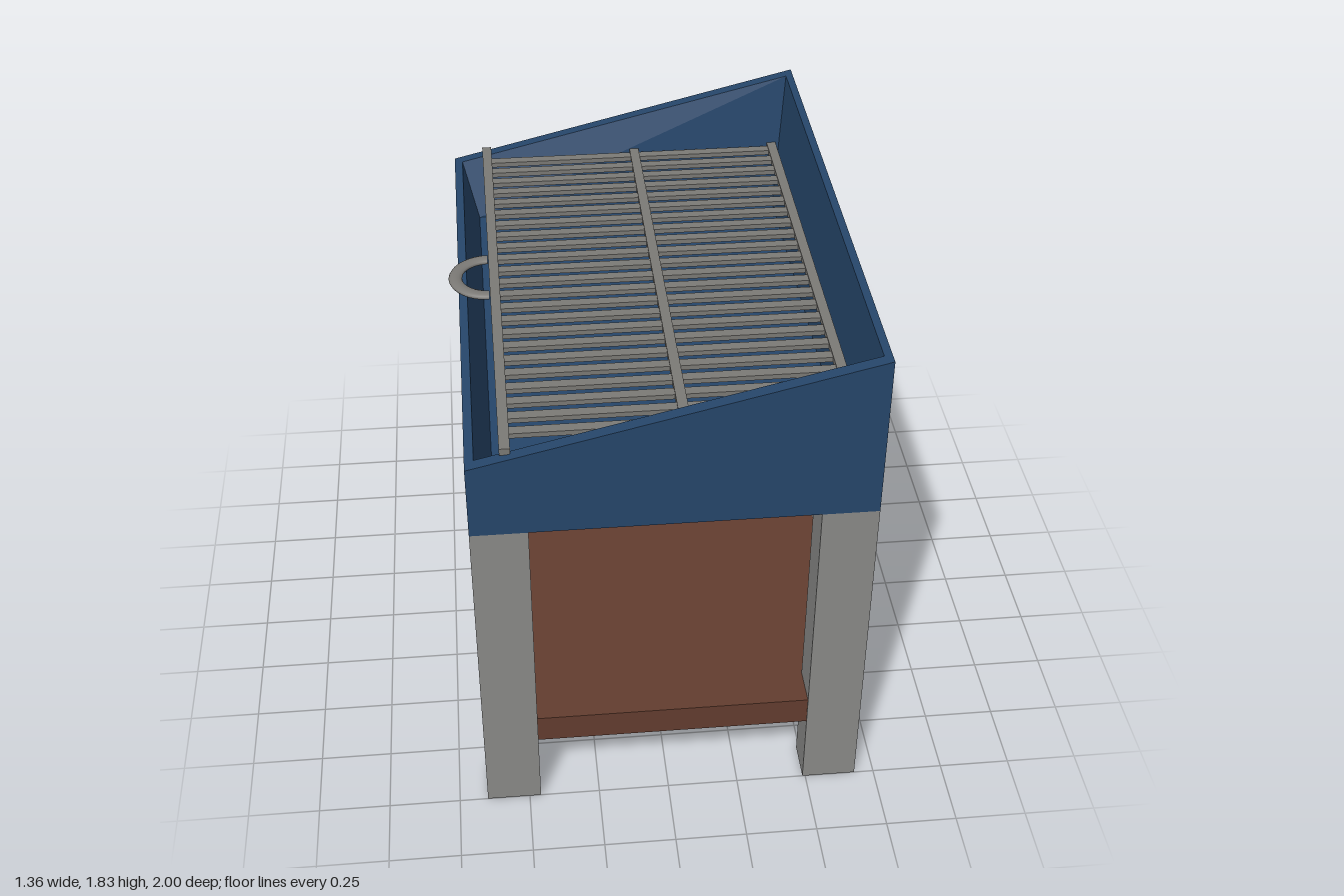
import * as THREE from 'three';

const X0 = -0.65, X1 = 0.68, BASE = 1.235;
const mat = (color) => new THREE.MeshStandardMaterial({ color, flatShading: true, side: THREE.DoubleSide });
const blue = mat(0x26466a), brown = mat(0x633d2f), stone = mat(0x8a8a88), iron = mat(0x7c7a76);

function add(parent, name, geometry, material, x = 0, y = 0, z = 0) {
  const mesh = new THREE.Mesh(geometry, material);
  mesh.name = name;
  mesh.position.set(x, y, z);
  parent.add(mesh);
  return mesh;
}

// Box without its underside (index range 18-24 is the bottom face)
function openBox(w, h, d) {
  const g = new THREE.BoxGeometry(w, h, d);
  g.setIndex([...g.index.array].filter((_, i) => i < 18 || i >= 24));
  g.clearGroups();
  return g;
}

// Height of the sloping rim at x
const rimY = (x) => 1.5 + (x - X0) * (0.325 / (X1 - X0));

// Four corners, counter-clockwise from above
const ring = (x0, x1, z, y) =>
  [[x0, z], [x1, z], [x1, -z], [x0, -z]].map(([x, cz]) => [x, y(x), cz]);

// Trough: outer wall, rim, tapered inner wall and floor
function troughGeometry() {
  const rings = [
    ring(X0, X1, 1, () => BASE),
    ring(X0, X1, 1, rimY),
    ring(-0.62, 0.655, 0.957, rimY),
    ring(-0.565, 0.61, 0.875, () => 1.3),
  ];
  const pos = [];
  const quad = (a, b, c, d) => pos.push(...a, ...b, ...c, ...a, ...c, ...d);
  for (let r = 0; r < 3; r++) {
    for (let i = 0; i < 4; i++) {
      const j = (i + 1) % 4;
      quad(rings[r][i], rings[r][j], rings[r + 1][j], rings[r + 1][i]);
    }
  }
  quad(...rings[3]);
  quad(...[...rings[0]].reverse());
  const g = new THREE.BufferGeometry();
  g.setAttribute('position', new THREE.Float32BufferAttribute(pos, 3));
  g.computeVertexNormals();
  return g;
}

export function createModel() {
  const model = new THREE.Group();
  model.name = 'grill';

  add(model, 'trough', troughGeometry(), blue);

  // Legs, open underneath
  const legW = 0.19, legD = 0.14;
  for (const x of [X0 + legW / 2, X1 - legW / 2]) {
    for (const z of [-1, 1]) {
      add(model, 'leg', openBox(legW, BASE, legD), stone, x, BASE / 2, z * (1 - legD / 2));
    }
  }

  // Lower shelf, a shallow tray turned upside down
  add(model, 'shelf', openBox(X1 - X0 - 0.008, 0.105, 1.992), brown, (X0 + X1) / 2, 0.3325, 0);

  // Level grate: long bars and evenly spaced rungs
  const grate = new THREE.Group();
  grate.name = 'grate';
  model.add(grate);
  const longBars = [[-0.522, -0.977, 0.972], [0.055, -0.912, 0.932], [0.6, -0.912, 0.912]];
  for (const [x, z0, z1] of longBars) {
    add(grate, 'longBar', new THREE.BoxGeometry(0.035, 0.024, z1 - z0), iron, x, 1.544, (z0 + z1) / 2);
  }
  const rungs = 23;
  for (let i = 0; i < rungs; i++) {
    const z = -0.872 + (i * 1.744) / (rungs - 1);
    add(grate, 'rung', new THREE.BoxGeometry(1.122, 0.018, 0.038), iron, 0.039, 1.543, z);
  }

  // Half-ring handle, flattened
  const smoothIron = iron.clone();
  smoothIron.flatShading = false;
  const ringGeo = new THREE.TorusGeometry(0.117, 0.024, 12, 24, Math.PI);
  ringGeo.rotateZ(Math.PI / 2).rotateX(Math.PI / 2).scale(1, 0.48, 1);
  add(grate, 'handle', ringGeo, smoothIron, -0.542, 1.543, -0.045);

  return model;
}
